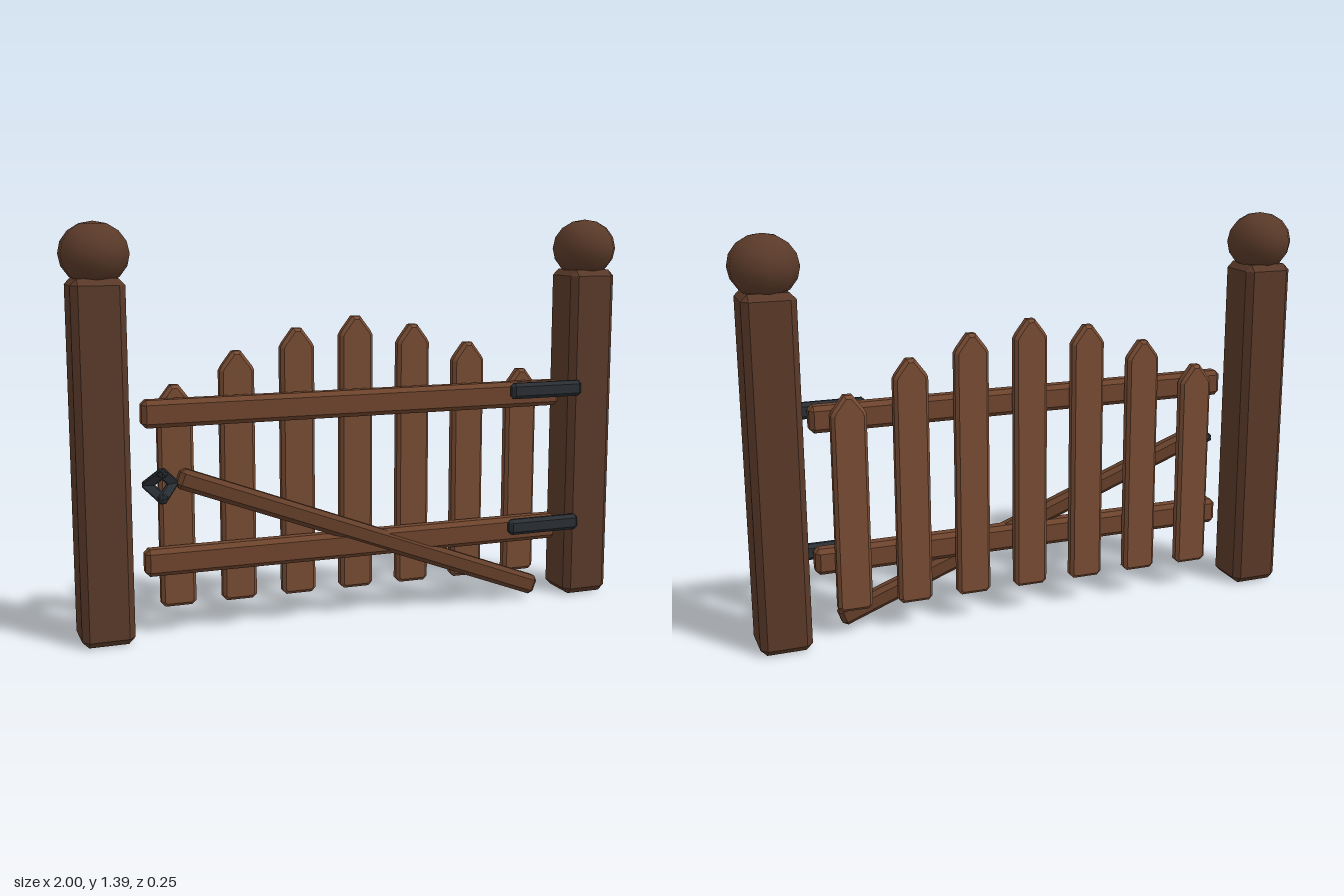
import * as THREE from 'three';
import { ConvexGeometry } from 'three/addons/geometries/ConvexGeometry.js';

const paint = (color) => new THREE.MeshStandardMaterial({ color, flatShading: true });

// Box with every edge cut at 45 degrees
function chamferBox(w, h, d, b) {
  const pts = [];
  for (const sx of [-0.5, 0.5]) for (const sy of [-0.5, 0.5]) for (const sz of [-0.5, 0.5]) {
    const c = (a, e, f) => pts.push(new THREE.Vector3(
      sx * (w - 2 * a), sy * (h - 2 * e), sz * (d - 2 * f)));
    c(0, b, b);
    c(b, 0, b);
    c(b, b, 0);
  }
  return new ConvexGeometry(pts);
}

// Pointed board with bevelled faces, standing on y = bottom
function picketGeometry(width, bottom, top, depth) {
  const w = width / 2, c = 0.014, b = 0.011;
  const shape = new THREE.Shape([
    [-w + c, bottom], [w - c, bottom], [w, bottom + c], [w, top - 0.065],
    [w - 0.008, top - 0.05], [0.014, top], [-0.014, top],
    [-w + 0.008, top - 0.05], [-w, top - 0.065], [-w, bottom + c],
  ].map(([x, y]) => new THREE.Vector2(x, y)));
  const geo = new THREE.ExtrudeGeometry(shape, {
    depth: depth - 2 * b, bevelEnabled: true, bevelThickness: b,
    bevelSize: b, bevelOffset: -b, bevelSegments: 1,
  });
  return geo.translate(0, 0, b);
}

export function createModel() {
  const gate = new THREE.Group();
  gate.name = 'gardenGate';
  const postWood = paint(0x5a3a29);
  const picketWood = paint(0x764b33);
  const railWood = paint(0x6e442d);
  const braceWood = paint(0x643f2a);
  const iron = paint(0x2a2f34);
  const ballWood = new THREE.MeshStandardMaterial({ color: 0x5a3a29 });

  const add = (name, geo, mat, x = 0, y = 0, z = 0) => {
    const mesh = new THREE.Mesh(geo, mat);
    mesh.name = name;
    mesh.position.set(x, y, z);
    gate.add(mesh);
    return mesh;
  };

  // Posts with ball caps
  const postGeo = chamferBox(0.175, 1.207, 0.175, 0.022);
  const ballGeo = new THREE.SphereGeometry(0.115, 10, 8)
    .rotateY(Math.PI / 2).scale(1, 0.9, 1);
  for (const side of [-1, 1]) {
    const label = side > 0 ? 'left' : 'right';
    add(label + 'Post', postGeo, postWood, side * 0.89, 0.6035, -0.012);
    add(label + 'PostBall', ballGeo, ballWood, side * 0.89, 1.283, -0.01);
  }

  // Pickets rising to the middle
  const tops = [1.06, 1.025, 0.955, 0.85];
  for (let i = -3; i <= 3; i++) {
    add('picket' + (i + 4), picketGeometry(0.12, 0.095, tops[Math.abs(i)], 0.045),
      picketWood, i * 0.2135, 0, -0.04);
  }

  // Horizontal rails and the hinge straps on them
  const railGeo = chamferBox(1.525, 0.092, 0.062, 0.015);
  const hingeGeo = chamferBox(0.28, 0.057, 0.036, 0.012);
  for (const [label, y] of [['lower', 0.267], ['upper', 0.765]]) {
    add(label + 'Rail', railGeo, railWood, 0, y, 0.035);
    add(label + 'Hinge', hingeGeo, iron, 0.695, y + 0.018, 0.085);
  }

  // Diagonal brace
  const brace = add('brace', chamferBox(1.42, 0.07, 0.055, 0.015), braceWood,
    0.017, 0.298, 0.046);
  brace.rotation.z = Math.atan2(-0.5, 1.315);

  // Latch: four short bars in a folded diamond ring
  const latch = new THREE.Group();
  latch.name = 'latch';
  latch.position.set(-0.712, 0.538, 0.094);
  const barGeo = chamferBox(0.092, 0.034, 0.014, 0.004);
  const r = 0.043, fold = 0.019;
  for (const sx of [-1, 1]) for (const sy of [-1, 1]) {
    const a = new THREE.Vector3(sx * r, 0, -fold);
    const b = new THREE.Vector3(0, sy * r, fold);
    const along = b.clone().sub(a).normalize();
    const across = new THREE.Vector3(0, 0, 1).cross(along).normalize();
    const out = along.clone().cross(across);
    const bar = new THREE.Mesh(barGeo, iron);
    bar.name = 'latchBar';
    bar.quaternion.setFromRotationMatrix(new THREE.Matrix4().makeBasis(along, across, out));
    bar.position.copy(a).add(b).multiplyScalar(0.5);
    latch.add(bar);
  }
  gate.add(latch);

  return gate;
}
